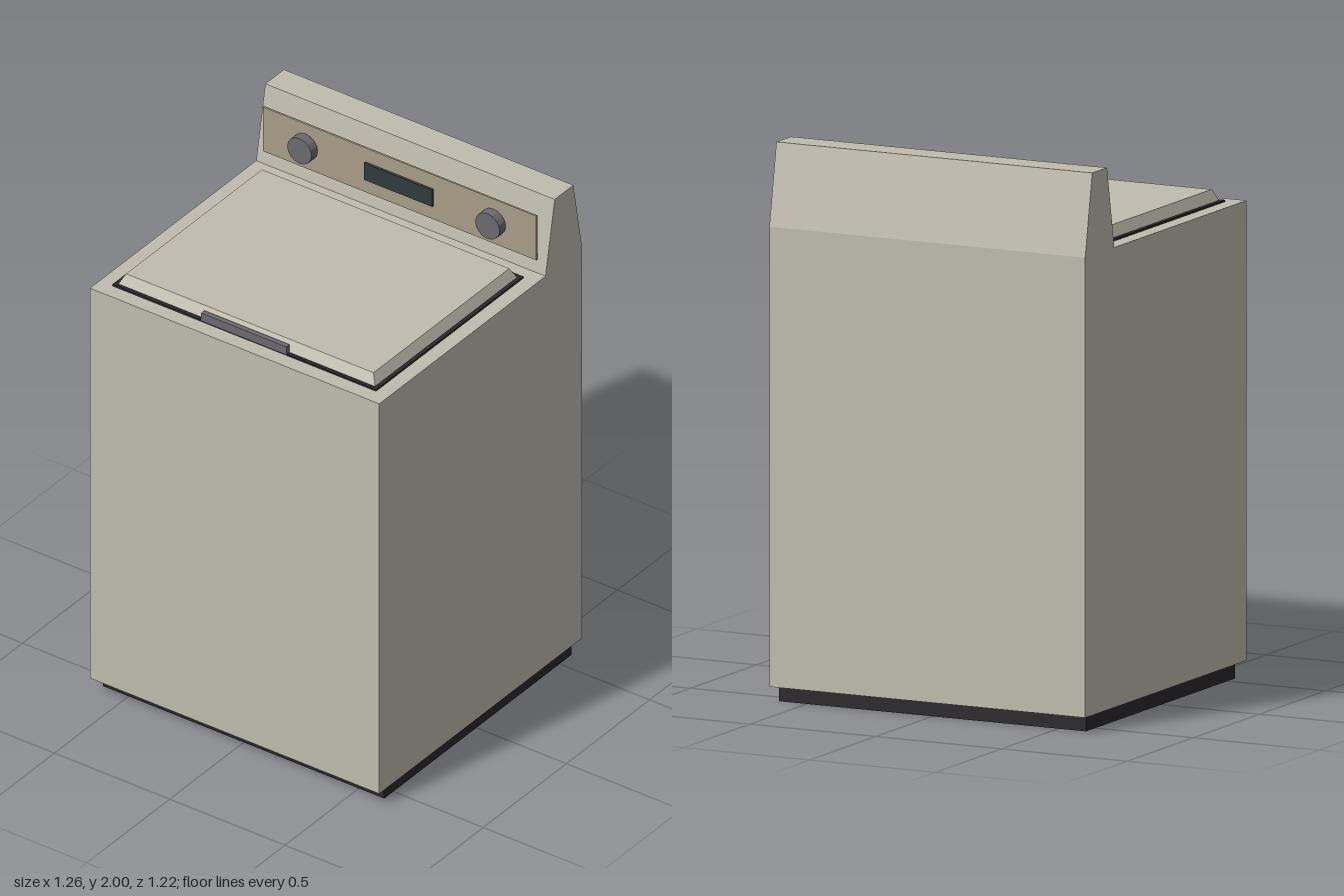
import * as THREE from 'three';

const mat = (color) => new THREE.MeshStandardMaterial({ color, flatShading: true });
const enamel = mat(0xc0bcae), dark = mat(0x2b272b), tan = mat(0xa89e86);
const glass = mat(0x2f3b3c), steel = mat(0x6a6a70);

export function createModel() {
  const model = new THREE.Group();

  const add = (name, geometry, material) => {
    const mesh = new THREE.Mesh(geometry, material);
    mesh.name = name;
    model.add(mesh);
    return mesh;
  };
  // Box given by its half width and its y and z ranges
  const box = (name, halfX, [y0, y1], [z0, z1], material) =>
    add(name, new THREE.BoxGeometry(2 * halfX, y1 - y0, z1 - z0), material)
      .position.set(0, (y0 + y1) / 2, (z0 + z1) / 2);

  // Cabinet and sloped rear console share one side profile, as [z, y]
  const profile = [
    [0.61, 0.057], [-0.61, 0.057], [-0.61, 1.705], [-0.557, 2],
    [-0.445, 2], [-0.39, 1.705], [0.61, 1.705],
  ];
  const side = new THREE.Shape(profile.map(([z, y]) => new THREE.Vector2(-z, y)));
  const cabinet = new THREE.ExtrudeGeometry(side, { depth: 1.256, bevelEnabled: false });
  cabinet.translate(0, 0, -0.628).rotateY(Math.PI / 2);
  add('cabinet', cabinet, enamel);

  // Recessed plinth
  box('plinth', 0.61, [0, 0.057], [-0.57, 0.555], dark);

  // Lid seal, and the lid with its top edges tapered inwards
  box('lidSeal', 0.572, [1.7, 1.712], [-0.335, 0.552], dark);
  const lid = new THREE.BoxGeometry(1.114, 0.04, 0.855);
  const p = lid.attributes.position;
  for (let i = 0; i < p.count; i++) {
    if (p.getY(i) > 0) {
      p.setX(i, p.getX(i) - 0.02 * Math.sign(p.getX(i)));
      p.setZ(i, p.getZ(i) - 0.019 * Math.sign(p.getZ(i)));
    }
  }
  lid.computeVertexNormals();
  add('lid', lid, enamel).position.set(0, 1.732, 0.11);
  box('lidHandle', 0.185, [1.712, 1.743], [0.535, 0.555], steel);

  // Control panel with display and two knobs
  box('controlPanel', 0.593, [1.763, 1.95], [-0.389, -0.382], tan);
  box('display', 0.148, [1.82, 1.891], [-0.383, -0.373], glass);
  for (const s of [-1, 1]) {
    const knob = new THREE.CylinderGeometry(0.053, 0.053, 0.038, 16).rotateX(Math.PI / 2);
    add(s > 0 ? 'leftKnob' : 'rightKnob', knob, steel).position.set(s * 0.408, 1.855, -0.364);
  }

  return model;
}
